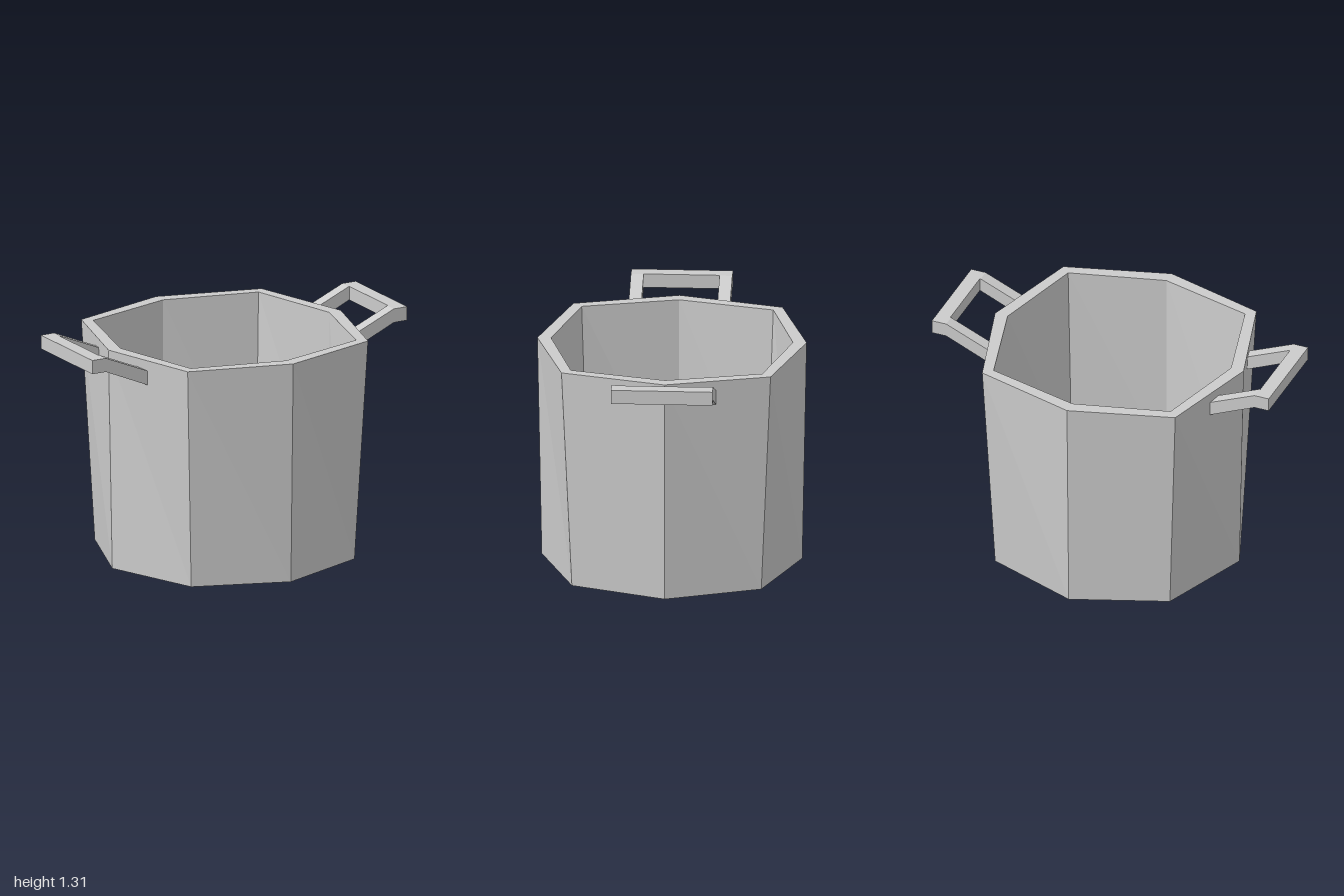
import * as THREE from 'three';

const material = new THREE.MeshStandardMaterial({ color: 0xcccccc, flatShading: true });

// Eight-sided ring; corners on the axes and on the diagonals have their own reach
function octagon(y, axis, diagonal) {
  return Array.from({ length: 8 }, (_, k) => {
    const a = (k * Math.PI) / 4;
    const r = k % 2 ? diagonal * Math.SQRT2 : axis;
    return [0.004 + r * Math.cos(a), y, r * Math.sin(a)];
  });
}

// Skin consecutive rings with flat faces
function loft(rings) {
  const positions = [];
  for (let i = 0; i < rings.length - 1; i++) {
    for (let k = 0; k < 8; k++) {
      const n = (k + 1) % 8;
      const a = rings[i][k], b = rings[i][n];
      const c = rings[i + 1][n], d = rings[i + 1][k];
      positions.push(...a, ...d, ...c, ...a, ...c, ...b);
    }
  }
  const geometry = new THREE.BufferGeometry();
  geometry.setAttribute('position', new THREE.Float32BufferAttribute(positions, 3));
  geometry.computeVertexNormals();
  return geometry;
}

function addMesh(parent, name, geometry) {
  const mesh = new THREE.Mesh(geometry, material);
  mesh.name = name;
  parent.add(mesh);
  return mesh;
}

// Bracket handle reaching out along +x
function createHandle(name) {
  const handle = new THREE.Group();
  handle.name = name;
  const profile = new THREE.Shape([
    [0.65, 1.112], [0.915, 1.228], [1, 1.228], [1, 1.306], [0.915, 1.306], [0.65, 1.193],
  ].map(([x, y]) => new THREE.Vector2(x, y)));
  const armGeometry = new THREE.ExtrudeGeometry(profile, { depth: 0.07, bevelEnabled: false });
  for (const z of [0.208, -0.278]) {
    addMesh(handle, 'handleArm', armGeometry).position.z = z;
  }
  const bar = addMesh(handle, 'handleBar', new THREE.BoxGeometry(0.08, 0.078, 0.416));
  bar.position.set(0.96, 1.267, 0);
  return handle;
}

export function createModel() {
  const model = new THREE.Group();
  model.name = 'cookingPot';

  // Pot body: base, outer wall, rim, inner wall, floor
  addMesh(model, 'potBody', loft([
    octagon(0, 0, 0),
    octagon(0, 0.714, 0.519),
    octagon(1.252, 0.738, 0.573),
    octagon(1.252, 0.663, 0.525),
    octagon(0.07, 0.663, 0.487),
    octagon(0.07, 0, 0),
  ]));

  // Handles on both sides
  model.add(createHandle('leftHandle'));
  const right = createHandle('rightHandle');
  right.rotation.y = Math.PI;
  model.add(right);

  return model;
}
